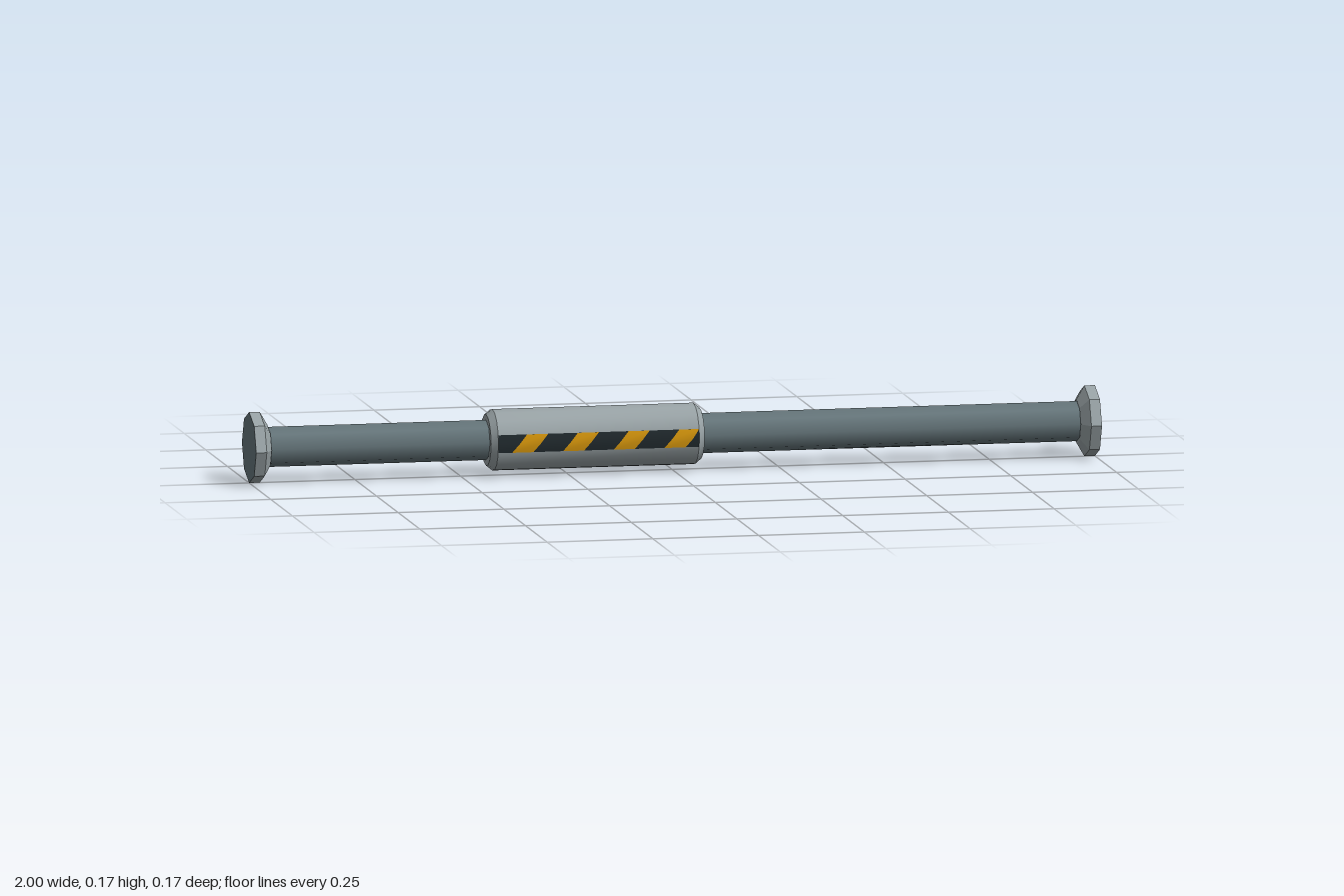
import * as THREE from 'three';
import { toCreasedNormals } from 'three/addons/utils/BufferGeometryUtils.js';

const AXIS = 0.083; // height of the rod's centre line
const BODY_R = 0.072;
const BODY_MIN = -0.44, BODY_MAX = 0.065;

function material(name, color, side = THREE.FrontSide) {
  const m = new THREE.MeshStandardMaterial({ color, side });
  m.name = name;
  return m;
}

// Turned part along x from [position, radius] pairs
function turned(profile, sides, crease) {
  const points = profile.map(([x, r]) => new THREE.Vector2(r, x));
  const geometry = new THREE.LatheGeometry(points, sides).rotateZ(-Math.PI / 2);
  return toCreasedNormals(geometry, crease);
}

// Slanted patch folded over the front ridge of the body
function patch(x0, x1, slant, lift) {
  const half = 0.021, lean = 0.035, steps = 2;
  const min = BODY_MIN + 0.015, max = BODY_MAX - 0.015;
  const pos = [], index = [];
  for (let i = 0; i <= steps; i++) {
    const y = -half + (2 * half * i) / steps;
    const z = BODY_R + lift - Math.abs(y) * Math.tan(Math.PI / 16);
    for (const x of [x0, x1]) {
      const sx = x + (slant ? (lean * i) / steps : 0);
      pos.push(THREE.MathUtils.clamp(sx, min, max), y, z);
    }
    if (i < steps) {
      const a = 2 * i;
      index.push(a, a + 1, a + 3, a, a + 3, a + 2);
    }
  }
  const g = new THREE.BufferGeometry();
  g.setAttribute('position', new THREE.Float32BufferAttribute(pos, 3));
  g.setIndex(index);
  g.computeVertexNormals();
  return g;
}

export function createModel() {
  const darkSteel = material('dark steel', 0x65757a);
  const lightSteel = material('light steel', 0x98a2a5);
  const black = material('stripe black', 0x20292d, THREE.DoubleSide);
  const amber = material('stripe amber', 0xd6960c, THREE.DoubleSide);

  const model = new THREE.Group();
  model.name = 'strutRod';
  const rod = new THREE.Group();
  rod.name = 'rod';
  rod.position.y = AXIS;
  model.add(rod);

  const add = (parent, name, geometry, mat) => {
    const mesh = new THREE.Mesh(geometry, mat);
    mesh.name = name;
    parent.add(mesh);
    return mesh;
  };

  // Long shaft
  const shaft = new THREE.CylinderGeometry(0.047, 0.047, 1.94, 8, 1, true);
  add(rod, 'shaft', shaft.rotateZ(-Math.PI / 2), darkSteel);

  // Sleeve with chamfered ends
  add(rod, 'sleeve', turned([
    [BODY_MIN, 0.04], [BODY_MIN, 0.06], [BODY_MIN + 0.015, BODY_R],
    [BODY_MAX - 0.015, BODY_R], [BODY_MAX, 0.06], [BODY_MAX, 0.04],
  ], 16, 0.5), lightSteel);

  // Mirrored end flanges with dark end plates
  for (const [side, turn] of [['left', 0], ['right', Math.PI]]) {
    const end = new THREE.Group();
    end.name = side + 'End';
    end.rotation.y = turn;
    add(end, side + 'Flange', turned([
      [0.957, 0.044], [0.957, 0.052], [0.975, 0.083], [1, 0.083],
    ], 8, 0.3), lightSteel);
    const plate = new THREE.CircleGeometry(0.083, 8).rotateY(Math.PI / 2);
    plate.translate(1, 0, 0);
    add(end, side + 'EndPlate', plate, darkSteel);
    rod.add(end);
  }

  // Hazard band on the front of the sleeve
  const band = new THREE.Group();
  band.name = 'hazardBand';
  rod.add(band);
  add(band, 'bandBase', patch(BODY_MIN, BODY_MAX, false, 0.001), black);
  for (let i = 0; i < 4; i++) {
    const x = -0.392 + i * 0.12;
    add(band, 'bandStripe' + (i + 1), patch(x, x + 0.05, true, 0.002), amber);
  }
  return model;
}
